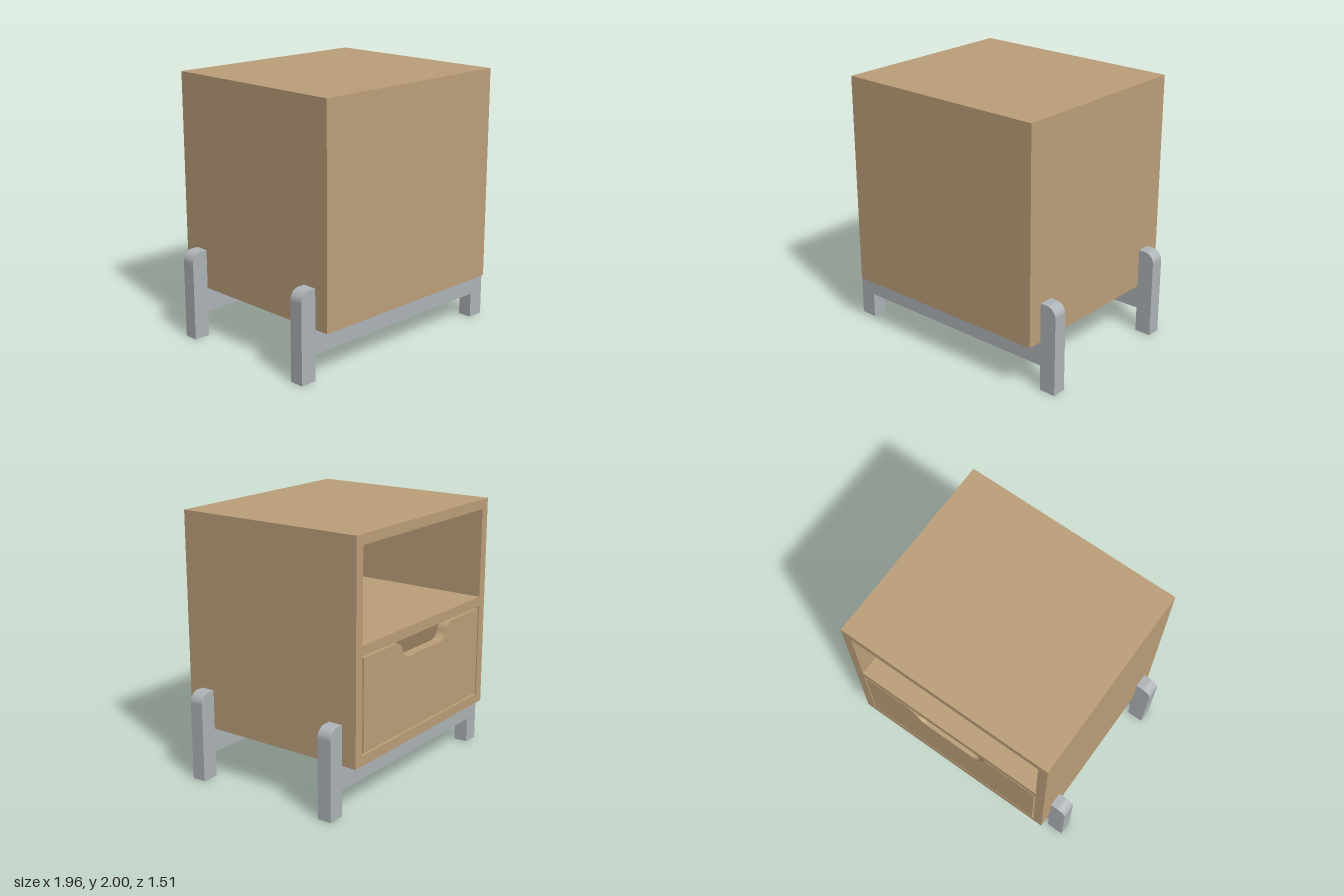
import * as THREE from 'three';

const wood = new THREE.MeshStandardMaterial({ name: 'wood', color: 0xbc9f79 });
const grey = new THREE.MeshStandardMaterial({ name: 'greyMetal', color: 0xaeb4b8 });

const W = 0.85, D = 0.755, BOTTOM = 0.38, TOP = 2, T = 0.075;
const INNER = W - T;
const SHELF_LOW = 1.17, SHELF_HIGH = SHELF_LOW + T;

function rectPath(Type, x0, y0, x1, y1) {
  const p = new Type();
  p.moveTo(x0, y0).lineTo(x1, y0).lineTo(x1, y1).lineTo(x0, y1).closePath();
  return p;
}

function extrude(name, shape, z, depth, material) {
  const geometry = new THREE.ExtrudeGeometry(shape, { depth, bevelEnabled: false, curveSegments: 10 });
  const mesh = new THREE.Mesh(geometry, material);
  mesh.name = name;
  mesh.position.z = z;
  return mesh;
}

function box(name, x0, x1, y0, y1, z0, z1) {
  const mesh = new THREE.Mesh(new THREE.BoxGeometry(x1 - x0, y1 - y0, z1 - z0), wood);
  mesh.name = name;
  mesh.position.set((x0 + x1) / 2, (y0 + y1) / 2, (z0 + z1) / 2);
  return mesh;
}

// Carcass: outer frame with a shelf opening and a drawer opening, closed at the front
function createCabinet() {
  const group = new THREE.Group();
  group.name = 'cabinet';
  const frame = rectPath(THREE.Shape, -W, BOTTOM, W, TOP);
  frame.holes.push(
    rectPath(THREE.Path, -INNER, SHELF_HIGH, INNER, TOP - T),
    rectPath(THREE.Path, -INNER, BOTTOM + T, INNER, SHELF_LOW),
  );
  group.add(
    extrude('cabinetFrame', frame, -D, 2 * D - T, wood),
    box('closingPanel', -W, W, BOTTOM, TOP, D - T, D),
  );
  return group;
}

// Drawer with a curved hand notch in its face, set flush in the lower opening
function createDrawer() {
  const group = new THREE.Group();
  group.name = 'drawer';
  const gap = 0.015, x = INNER - gap, y0 = BOTTOM + T + gap, y1 = SHELF_LOW - gap;
  const low = y1 - 0.13, wide = 0.38, narrow = 0.2, mid = (wide + narrow) / 2;
  const midY = (y1 + low) / 2;
  const face = new THREE.Shape();
  face.moveTo(-x, y0).lineTo(x, y0).lineTo(x, y1).lineTo(wide, y1);
  face.quadraticCurveTo(mid + 0.02, y1, mid, midY);
  face.quadraticCurveTo(mid - 0.02, low, narrow, low);
  face.lineTo(-narrow, low);
  face.quadraticCurveTo(-mid + 0.02, low, -mid, midY);
  face.quadraticCurveTo(-mid - 0.02, y1, -wide, y1);
  face.lineTo(-x, y1).closePath();

  const wall = 0.05, near = -D + T, far = D - T - 0.03, rim = low - 0.02;
  group.add(
    extrude('drawerFace', face, -D, T, wood),
    box('drawerFloor', -x, x, y0, y0 + wall, near, far),
    box('drawerEndWall', -x, x, y0 + wall, rim, far - wall, far),
  );
  for (const s of [-1, 1]) {
    const a = s * x, b = s * (x - wall);
    group.add(box(s > 0 ? 'drawerLeftWall' : 'drawerRightWall',
      Math.min(a, b), Math.max(a, b), y0 + wall, rim, near, far - wall));
  }
  return group;
}

// Cradle: two posts with rounded outer tops, joined by a beam under the cabinet
function createLegFrame(name, z) {
  const out = 0.98, top = 0.68, beam = 0.195, r = 0.08;
  const s = new THREE.Shape();
  s.moveTo(-out, 0).lineTo(-W, 0).lineTo(-W, beam).lineTo(W, beam).lineTo(W, 0).lineTo(out, 0);
  s.lineTo(out, top - r);
  s.absarc(out - r, top - r, r, 0, Math.PI / 2, false);
  s.lineTo(W, top).lineTo(W, BOTTOM).lineTo(-W, BOTTOM).lineTo(-W, top);
  s.lineTo(-out + r, top);
  s.absarc(-out + r, top - r, r, Math.PI / 2, Math.PI, false);
  s.closePath();
  return extrude(name, s, z - 0.055, 0.11, grey);
}

export function createModel() {
  const model = new THREE.Group();
  model.name = 'bedsideCabinet';
  model.add(
    createCabinet(),
    createDrawer(),
    createLegFrame('frontLegFrame', 0.585),
    createLegFrame('backLegFrame', -0.585),
  );
  return model;
}
